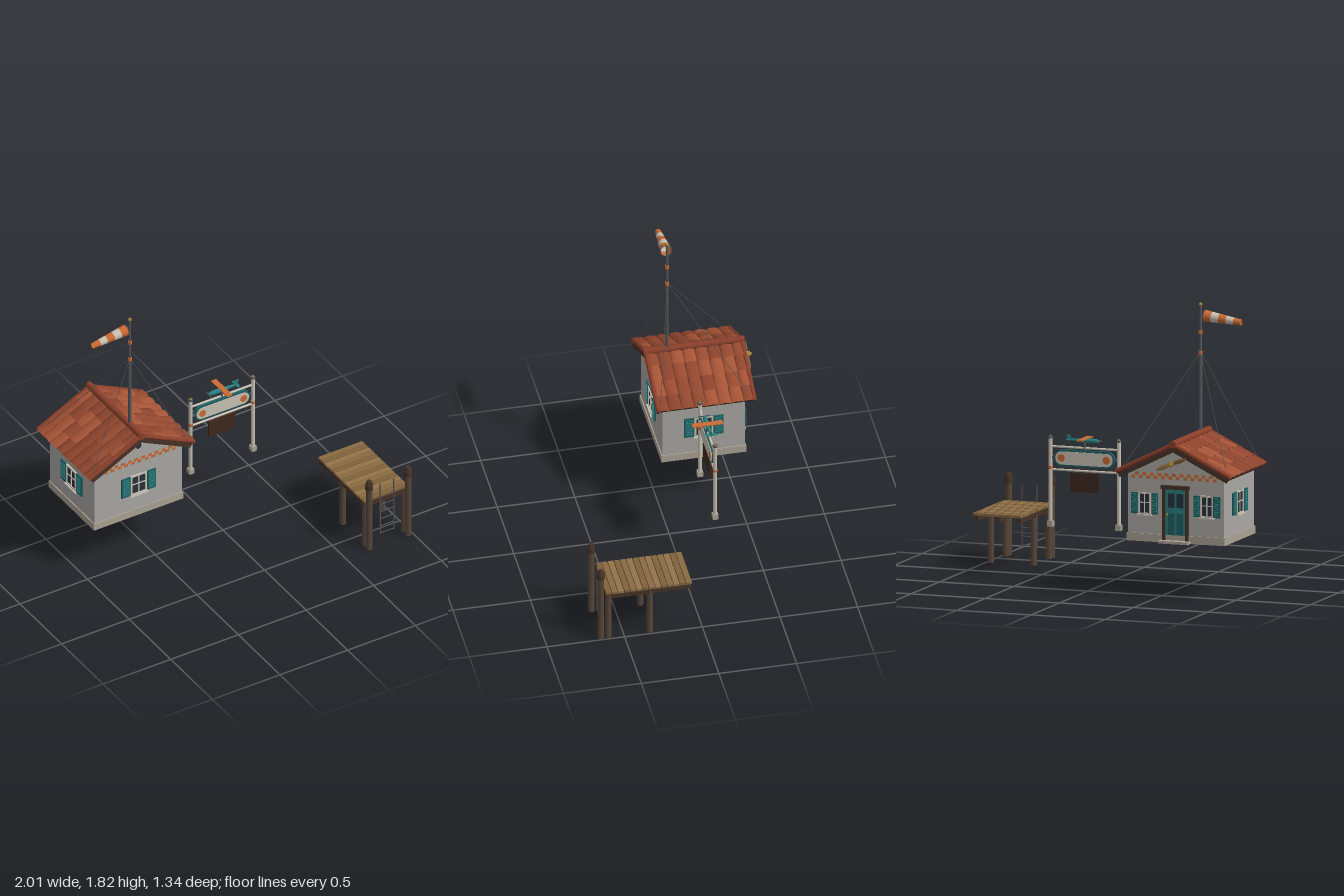
import * as THREE from 'three';

const C = {
  wall: 0xaaa8a4, plinth: 0xaaa294, tile: 0x984a30, ridge: 0x8a3f2a, dark: 0x453228, teal: 0x2a7f80, deepTeal: 0x1d5f62,
  orange: 0xcc6a34, cream: 0xc9c2b4, glass: 0x26323a, gold: 0xa8843c, metal: 0x55565a, wood: 0x8a6a42, post: 0x56463a, sign: 0x3e281e,
};
const mats = {};
const mat = (c, double) => mats[c + !!double] ??= new THREE.MeshStandardMaterial({ color: c, side: double ? THREE.DoubleSide : THREE.FrontSide });

function add(parent, name, geo, color, pos = [0, 0, 0], rot = [0, 0, 0], double = false) {
  const m = new THREE.Mesh(geo, mat(color, double));
  m.name = name;
  m.position.set(...pos);
  m.rotation.set(...rot);
  parent.add(m);
  return m;
}
function group(parent, name, pos = [0, 0, 0], rotY = 0) {
  const g = new THREE.Group();
  g.name = name;
  g.position.set(...pos);
  g.rotation.y = rotY;
  parent.add(g);
  return g;
}
const box = (w, h, d) => new THREE.BoxGeometry(w, h, d);
const cyl = (r, h, n = 12, r2 = r) => new THREE.CylinderGeometry(r2, r, h, n);

// Thin rod between two points
function rod(parent, name, a, b, r, color) {
  const p = new THREE.Vector3(...a), q = new THREE.Vector3(...b), d = q.clone().sub(p);
  const m = add(parent, name, cyl(r, d.length(), 6), color, p.clone().add(q).multiplyScalar(0.5).toArray());
  m.quaternion.setFromUnitVectors(new THREE.Vector3(0, 1, 0), d.normalize());
}

// Shuttered window on a wall face (local z points outwards)
function shutteredWindow(face, x, y, w, h, sw) {
  const g = group(face, 'window', [x, y, 0]);
  add(g, 'windowPane', box(w, h, 0.036), C.glass, [0, 0, -0.013]);
  for (const s of [-1, 1]) {
    add(g, 'windowFrameSide', box(0.01, h, 0.016), C.cream, [s * (w / 2 - 0.005), 0, 0.004]);
    add(g, 'windowFrameRail', box(w, 0.01, 0.016), C.cream, [0, s * (h / 2 - 0.005), 0.004]);
    const sx = s * (w / 2 + sw / 2 + 0.005);
    add(g, 'shutter', box(sw, h * 0.96, 0.012), C.deepTeal, [sx, 0, 0.005]);
    for (let i = 0; i < 7; i++)
      add(g, 'shutterSlat', box(sw * 0.76, h * 0.09, 0.006), C.teal, [sx, (i - 3) * h * 0.122, 0.011], [0.25, 0, 0]);
  }
  add(g, 'mullion', box(0.006, h, 0.012), C.cream, [0, 0, 0.004]);
  add(g, 'transom', box(w, 0.006, 0.012), C.cream, [0, 0.005, 0.004]);
  add(g, 'windowSill', box(w + 0.015, 0.01, 0.026), C.cream, [0, -h / 2 - 0.003, 0.008]);
}

function checkerBand(face, cols, cell) {
  for (let r = 0; r < 2; r++)
    for (let i = r; i < cols; i += 2)
      add(face, 'checker', box(cell, 0.02, 0.004), C.orange, [(i - (cols - 1) / 2) * cell, 0.412 + r * 0.02, 0.001]);
}

function buildHouse(root) {
  const house = group(root, 'house', [-0.615, 0.35, -0.285]);
  const W = 0.323, D = 0.266, T = 0.02;
  // Walls with details, one group per face
  const gable = new THREE.Shape([[-W, 0], [W, 0], [W, 0.455], [0, 0.615], [-W, 0.455]].map(p => new THREE.Vector2(...p)));
  const faces = [['front', 0, D, W], ['left', Math.PI / 2, W, D], ['back', Math.PI, D, W], ['right', -Math.PI / 2, W, D]].map(([n, ry, off, half], i) => {
    const f = group(house, n + 'Face', [Math.sin(ry) * off, 0, Math.cos(ry) * off], ry);
    const geo = i % 2 ? box(half * 2, 0.455, T).translate(0, 0.2275, T / 2) : new THREE.ExtrudeGeometry(gable, { depth: T, bevelEnabled: false });
    add(f, n + 'Wall', geo, C.wall, [0, 0, -T]);
    add(f, 'plinth', box(half * 2 + 0.014, 0.05, 0.014), C.plinth, [0, 0.025, 0]);
    checkerBand(f, i % 2 ? 20 : 24, 0.025);
    if (i !== 2) shutteredWindow(f, 0, 0.243, 0.118, 0.148, 0.062);
    return f;
  });
  const [front, , back] = faces;
  // Gable vent
  add(front, 'ventGlass', cyl(0.023, 0.01, 24), C.glass, [0, 0.535, 0.002], [Math.PI / 2, 0, 0]);
  add(front, 'ventRing', new THREE.TorusGeometry(0.025, 0.005, 8, 28), C.cream, [0, 0.535, 0.004]);
  // Entrance
  for (const s of [-1, 1]) shutteredWindow(back, s * 0.21, 0.243, 0.085, 0.14, 0.042);
  const door = group(back, 'door');
  add(door, 'doorLeaf', box(0.135, 0.32, 0.036), C.teal, [0, 0.18, -0.012]);
  for (const s of [-1, 1]) {
    add(door, 'doorJamb', box(0.02, 0.345, 0.026), C.dark, [s * 0.077, 0.18, 0.005]);
    add(door, 'doorPane', box(0.045, 0.09, 0.006), C.glass, [s * 0.029, 0.27, 0.006]);
    add(door, 'doorPanel', box(0.045, 0.14, 0.008), C.deepTeal, [s * 0.029, 0.12, 0.006]);
  }
  add(door, 'doorLintel', box(0.19, 0.024, 0.034), C.dark, [0, 0.355, 0.008]);
  add(door, 'doorKnob', new THREE.SphereGeometry(0.008, 10, 8), C.gold, [-0.055, 0.18, 0.014]);
  add(back, 'doorstep', box(0.2, 0.017, 0.06), C.plinth, [0, 0.0085, 0.025]);
  // Ornamental propeller on the back gable
  const prop = group(back, 'propeller', [0, 0.515, 0.085]);
  prop.rotation.z = 0.38;
  add(prop, 'propellerShaft', cyl(0.009, 0.085), C.metal, [0, 0, -0.04], [Math.PI / 2, 0, 0]);
  add(prop, 'propellerHub', cyl(0.018, 0.022, 14), C.gold, [0, 0, 0.006], [Math.PI / 2, 0, 0]);
  add(prop, 'propellerNose', new THREE.ConeGeometry(0.013, 0.02, 14), C.gold, [0, 0, 0.024], [Math.PI / 2, 0, 0]);
  for (const s of [-1, 1]) {
    const b = add(prop, 'propellerBlade', new THREE.SphereGeometry(0.055, 14, 8), C.wood, [s * 0.055, 0, 0], [s * 0.35, 0, 0]);
    b.scale.set(1, 0.27, 0.1);
  }
  // Roof: two mirrored slopes of overlapping barrel tiles
  const roof = group(house, 'roof', [0, 0.64, -0.005]);
  const a = 0.458, L = 0.43, cols = 8, rows = 4, pitch = 0.64 / cols;
  const tileGeo = new THREE.CylinderGeometry(pitch * 0.48, pitch * 0.54, L / rows + 0.018, 10, 1, true, 0, Math.PI).rotateZ(Math.PI / 2).scale(1, 0.42, 1);
  let seed = 7;
  const rnd = () => (seed = (seed * 16807) % 2147483647) / 2147483647;
  const shades = [C.tile, 0x8c432c, 0xa55335, 0x92472e];
  for (const ry of [0, Math.PI]) {
    const slope = group(group(roof, 'roofSide', [0, 0, 0], ry), 'roofSlope');
    slope.rotation.z = -a;
    add(slope, 'roofBoard', box(L, 0.02, 0.63), C.dark, [L / 2 - 0.004, -0.022, 0]);
    for (let r = 0; r < rows; r++)
      for (let c = 0; c < cols; c++)
        add(slope, 'roofTile', tileGeo, shades[Math.floor(rnd() * 4)], [(r + 0.5) * L / rows, -0.012, (c - (cols - 1) / 2) * pitch], [0, 0, 0.05], true);
    for (const s of [-1, 1]) {
      add(slope, 'vergeTile', cyl(0.015, L, 10), C.ridge, [L / 2, -0.005, s * 0.309], [0, 0, Math.PI / 2]);
      add(slope, 'bargeboard', box(L - 0.01, 0.034, 0.014), C.dark, [L / 2, -0.032, s * 0.308]);
    }
  }
  add(roof, 'ridgeCap', cyl(0.023, 0.65, 14), C.ridge, [0, -0.003, 0], [Math.PI / 2, 0, 0]);
}

function buildMast(root) {
  const mast = group(root, 'windsockMast', [-0.615, 0, -0.118]);
  add(mast, 'mastLower', cyl(0.011, 0.56), C.metal, [0, 1.22, 0]);
  add(mast, 'mastUpper', cyl(0.008, 0.31), C.metal, [0, 1.65, 0]);
  for (const y of [1.5, 1.63]) add(mast, 'mastBand', cyl(0.0125, 0.022), C.orange, [0, y, 0]);
  add(mast, 'mastBall', new THREE.SphereGeometry(0.012, 12, 10), C.gold, [0, 1.807, 0]);
  for (const x of [-0.34, 0.34])
    for (const z of [0.112, -0.445]) rod(mast, 'guyWire', [0, 1.505, 0], [x, 0.835, z], 0.0018, C.metal);
  // Tapered striped sock, mouth at the mast
  const sock = group(mast, 'windsock', [-0.028, 1.737, 0]);
  sock.rotation.z = 0.12;
  const radius = i => 0.037 - i * 0.0036, len = 0.05;
  for (let i = 0; i < 5; i++)
    add(sock, 'sockStripe', new THREE.CylinderGeometry(radius(i + 1), radius(i), len, 18, 1, true), i % 2 ? C.cream : C.orange, [-(i + 0.5) * len, 0, 0], [0, 0, Math.PI / 2], true);
  add(sock, 'sockHoop', new THREE.TorusGeometry(0.037, 0.003, 6, 24), C.metal, [0, 0, 0], [0, Math.PI / 2, 0]);
  for (const s of [-1, 1]) rod(sock, 'sockBridle', [0, s * 0.037, 0], [0.028, s * 0.012, 0], 0.002, C.metal);
}

function stadium(halfLen, r, depth) {
  const s = new THREE.Shape();
  s.absarc(halfLen - r, 0, r, -Math.PI / 2, Math.PI / 2);
  s.absarc(r - halfLen, 0, r, Math.PI / 2, Math.PI * 1.5);
  return new THREE.ExtrudeGeometry(s, { depth, bevelEnabled: false, curveSegments: 16 }).translate(0, 0, -depth / 2);
}

function buildSign(root) {
  const sign = group(root, 'signStand', [0.127, 0, -0.22]);
  for (const s of [-1, 1]) {
    const x = s * 0.23;
    add(sign, 'signPost', cyl(0.013, 0.56), C.cream, [x, 0.64, 0]);
    add(sign, 'postFoot', box(0.036, 0.036, 0.036), C.plinth, [x, 0.368, 0]);
    add(sign, 'postBand', cyl(0.0145, 0.018), C.orange, [x, 0.727, 0]);
    add(sign, 'postCap', cyl(0.016, 0.012), C.metal, [x, 0.918, 0]);
    add(sign, 'postFinial', new THREE.ConeGeometry(0.009, 0.018, 10), C.gold, [x, 0.93, 0]);
    add(sign, 'postBracket', box(0.028, 0.014, 0.014), C.metal, [s * 0.213, 0.793, 0]);
    add(sign, 'signDisc', cyl(0.024, 0.038, 24), C.orange, [s * 0.152, 0.793, 0], [Math.PI / 2, 0, 0]);
    rod(sign, 'boardHanger', [s * 0.07, 0.715, 0], [s * 0.07, 0.695, 0], 0.003, C.metal);
  }
  for (const y of [0.862, 0.715]) add(sign, 'crossbar', cyl(0.0075, 0.46), C.cream, [0, y, 0], [0, 0, Math.PI / 2]);
  add(sign, 'signBorder', stadium(0.204, 0.053, 0.022), C.deepTeal, [0, 0.793, 0]);
  add(sign, 'signPanel', stadium(0.193, 0.042, 0.03), C.cream, [0, 0.793, 0]);
  add(sign, 'hangingBoard', box(0.196, 0.12, 0.014), C.sign, [0, 0.64, 0]);
  // Little aeroplane, nose towards -x
  const plane = group(sign, 'aeroplane', [0, 0.91, 0]);
  const prof = [[0, -0.1], [0.009, -0.095], [0.015, -0.075], [0.016, -0.02], [0.011, 0.05], [0.005, 0.115], [0, 0.12]].map(p => new THREE.Vector2(...p));
  add(plane, 'fuselage', new THREE.LatheGeometry(prof, 14).rotateZ(-Math.PI / 2), C.teal);
  add(plane, 'wing', box(0.038, 0.007, 0.196), C.orange, [0, 0.012, 0]);
  add(plane, 'tailplane', box(0.022, 0.005, 0.07), C.teal, [0.104, 0.004, 0]);
  const fin = new THREE.Shape([[0.078, 0], [0.118, 0], [0.122, 0.036], [0.106, 0.036]].map(p => new THREE.Vector2(...p)));
  add(plane, 'tailFin', new THREE.ExtrudeGeometry(fin, { depth: 0.005, bevelEnabled: false }), C.teal, [0, 0, -0.0025]);
  add(plane, 'planePropeller', box(0.004, 0.008, 0.075), C.metal, [-0.1, 0, 0]);
  add(plane, 'planeStand', cyl(0.009, 0.045), C.metal, [0, -0.028, 0]);
}

function buildDock(root) {
  const dock = group(root, 'dock', [0.827, 0, 0]);
  const n = 14, step = 0.557 / n;
  for (let i = 0; i < n; i++)
    add(dock, 'deckPlank', box(0.326, 0.016, step - 0.005), [C.wood, 0x80623c, 0x94744a][(i * 2) % 3 === 0 ? 0 : i % 3], [0, 0.347, 0.062 + (i + 0.5) * step]);
  for (const x of [-0.144, 0, 0.144]) add(dock, 'joist', box(0.028, 0.035, 0.545), C.dark, [x, 0.322, 0.342]);
  for (const z of [0.333, 0.605]) add(dock, 'crossBeam', box(0.326, 0.036, 0.026), C.dark, [0, 0.322, z]);
  for (const x of [-0.144, 0.144]) {
    for (const z of [0.333, 0.6]) add(dock, 'dockPile', cyl(0.021, 0.33, 10), C.post, [x, 0.165, z]);
    add(dock, 'mooringPost', cyl(0.022, 0.5, 10), C.post, [x, 0.25, 0.648]);
    add(dock, 'mooringBand', cyl(0.026, 0.035, 10), C.dark, [x, 0.478, 0.648]);
    add(dock, 'mooringCap', cyl(0.025, 0.028, 10, 0.016), C.dark, [x, 0.512, 0.648]);
  }
  // Boarding ladder
  const ladder = group(dock, 'ladder', [-0.002, 0, 0.63]);
  for (const s of [-1, 1]) rod(ladder, 'ladderRail', [s * 0.05, 0.067, 0], [s * 0.05, 0.458, 0], 0.004, C.metal);
  for (let i = 0; i < 5; i++) rod(ladder, 'ladderRung', [-0.05, 0.073 + i * 0.055, 0], [0.05, 0.073 + i * 0.055, 0], 0.0035, C.metal);
}

export function createModel() {
  const root = new THREE.Group();
  root.name = 'seaplaneStation';
  buildHouse(root);
  buildMast(root);
  buildSign(root);
  buildDock(root);
  return root;
}
